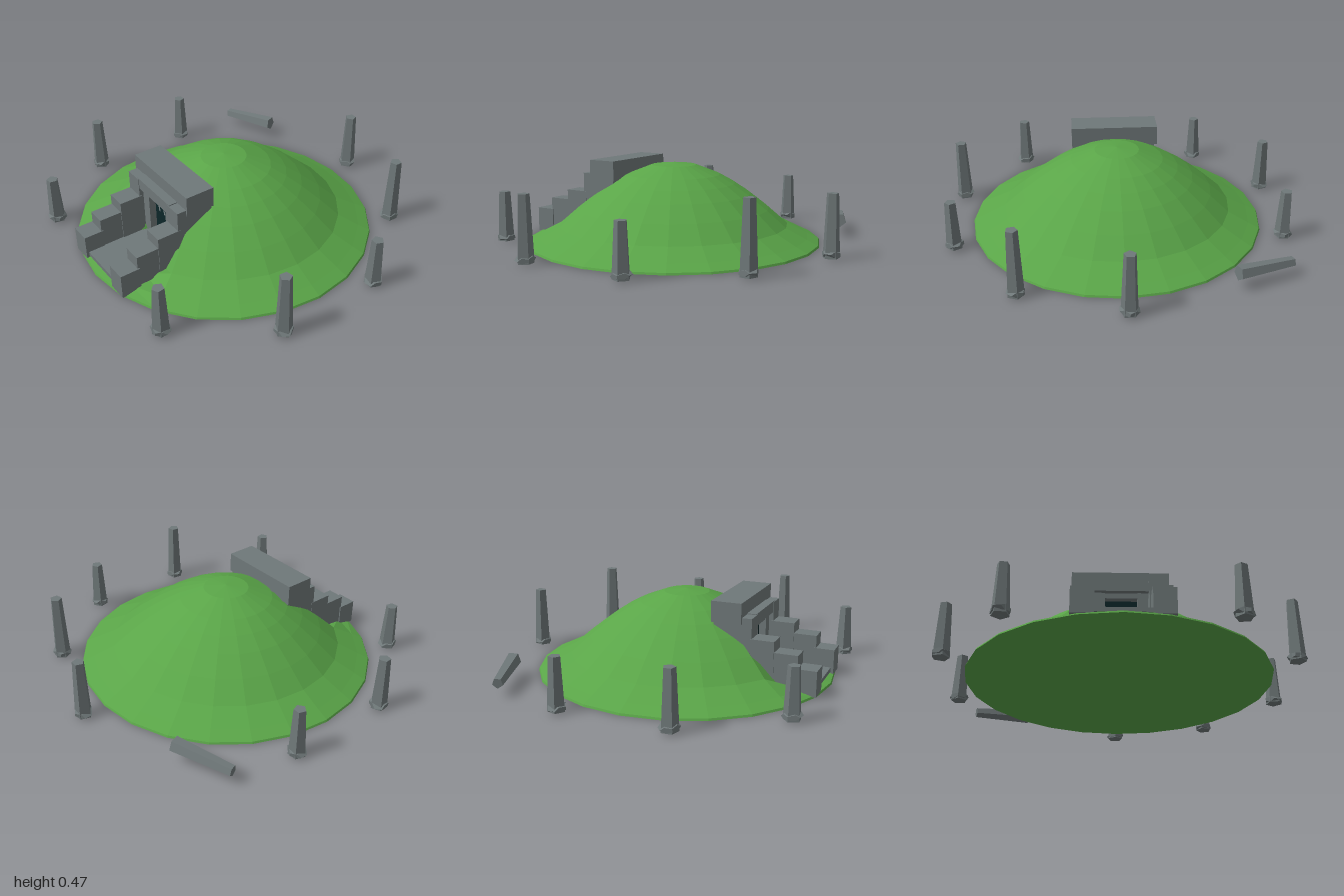
import * as THREE from 'three';

const mat = (name, color) => {
  const m = new THREE.MeshStandardMaterial({ color });
  m.name = name;
  return m;
};

export function createModel() {
  const group = new THREE.Group();
  group.name = 'burialMound';
  const grass = mat('grass', 0x5aa548);
  const stone = mat('stone', 0x6f7879);
  const dark = mat('darkDoor', 0x0c2628);
  const pale = mat('paleMarks', 0x8b9698);

  // Faceted mesh: every triangle keeps its own normal
  const add = (name, geo, material, parent = group) => {
    const g = geo.index ? geo.toNonIndexed() : geo;
    g.computeVertexNormals();
    const mesh = new THREE.Mesh(g, material);
    mesh.name = name;
    parent.add(mesh);
    return mesh;
  };
  // Box given by its limits
  const block = (name, x0, x1, y0, y1, z0, z1, material = stone) => {
    const mesh = add(name, new THREE.BoxGeometry(x1 - x0, y1 - y0, z1 - z0), material);
    mesh.position.set((x0 + x1) / 2, (y0 + y1) / 2, (z0 + z1) / 2);
    return mesh;
  };

  // Grassy mound, with the passage sunk into its front
  const profile = [[0, 0.004], [0.86, 0.004], [0.855, 0.015], [0.79, 0.045], [0.67, 0.105], [0.56, 0.2],
    [0.45, 0.285], [0.36, 0.345], [0.27, 0.395], [0.13, 0.45], [0, 0.464]];
  const mound = new THREE.LatheGeometry(profile.map(p => new THREE.Vector2(...p)), 24);
  mound.translate(0, 0, 0.09);
  const pos = mound.attributes.position;
  for (let i = 0; i < pos.count; i++) {
    if (Math.abs(pos.getX(i)) < 0.215 && pos.getZ(i) > 0.43)
      pos.setY(i, Math.min(pos.getY(i), 0.03));
  }
  add('mound', mound, grass);

  // Stone entrance: floor, roof slab, inner lintel
  block('passageFloor', -0.17, 0.17, 0.028, 0.052, 0.45, 0.91);
  block('roofSlab', -0.265, 0.258, 0.36, 0.476, 0.34, 0.51);
  block('innerLintel', -0.165, 0.165, 0.335, 0.4, 0.45, 0.562);

  // Stepped walls, mirrored, with slightly uneven blocks
  for (const s of [-1, 1]) {
    const wall = (name, xi, xo, y0, y1, z0, z1) =>
      block(name, Math.min(s * xi, s * xo), Math.max(s * xi, s * xo), y0, y1, z0, z1);
    wall('wallBack', 0.145, 0.25, 0.04, 0.395, 0.35, 0.565);
    wall('wallStepHigh', 0.14, 0.252, 0.04, 0.285, 0.55, 0.69);
    wall('wallStepMiddle', 0.145, 0.248, 0.04, 0.225, 0.68, 0.82);
    wall('wallStepLow', 0.14, 0.255, 0.012, 0.155, 0.81, 0.925);
    wall('doorPost', 0.085, 0.15, 0.045, 0.34, 0.47, 0.54);
  }

  // Dark doorway with slanted pale scratches
  block('doorHead', -0.1, 0.1, 0.305, 0.34, 0.47, 0.535);
  block('door', -0.09, 0.09, 0.045, 0.31, 0.47, 0.5, dark);
  for (const x of [-0.045, 0.005, 0.055]) {
    const mark = block('doorMark', x - 0.004, x + 0.004, 0.215, 0.27, 0.499, 0.503, pale);
    mark.rotation.z = 0.25;
  }

  // Ring of tapering standing stones on small rough footings: x, z, height
  const stones = [[0, -0.9, 0.36], [0.575, -0.705, 0.4], [0.94, -0.215, 0.3], [0.94, 0.4, 0.375],
    [0.575, 0.89, 0.3], [-0.58, 0.89, 0.29], [-0.945, 0.4, 0.33], [-0.945, -0.215, 0.3]];
  stones.forEach(([x, z, h], i) => {
    const s = new THREE.Group();
    s.name = 'standingStone';
    s.position.set(x, 0, z);
    s.rotation.y = i * 0.9;
    group.add(s);
    const shaft = add('shaft', new THREE.CylinderGeometry(0.033, 0.048, h - 0.012, 5), stone, s);
    shaft.position.y = (h + 0.012) / 2;
    const foot = add('footing', new THREE.DodecahedronGeometry(0.056), stone, s);
    foot.scale.y = 0.45;
    foot.position.y = 0.033;
    foot.rotation.z = 0.12;
  });

  // Fallen stone behind the mound
  const fallen = add('fallenStone', new THREE.CylinderGeometry(0.03, 0.044, 0.34, 5), stone);
  fallen.position.set(-0.74, 0.092, -0.66);
  fallen.quaternion.setFromUnitVectors(new THREE.Vector3(0, 1, 0),
    new THREE.Vector3(-0.32, -0.02, 0.12).normalize());
  fallen.scale.set(1, 1, 1);
  return group;
}
